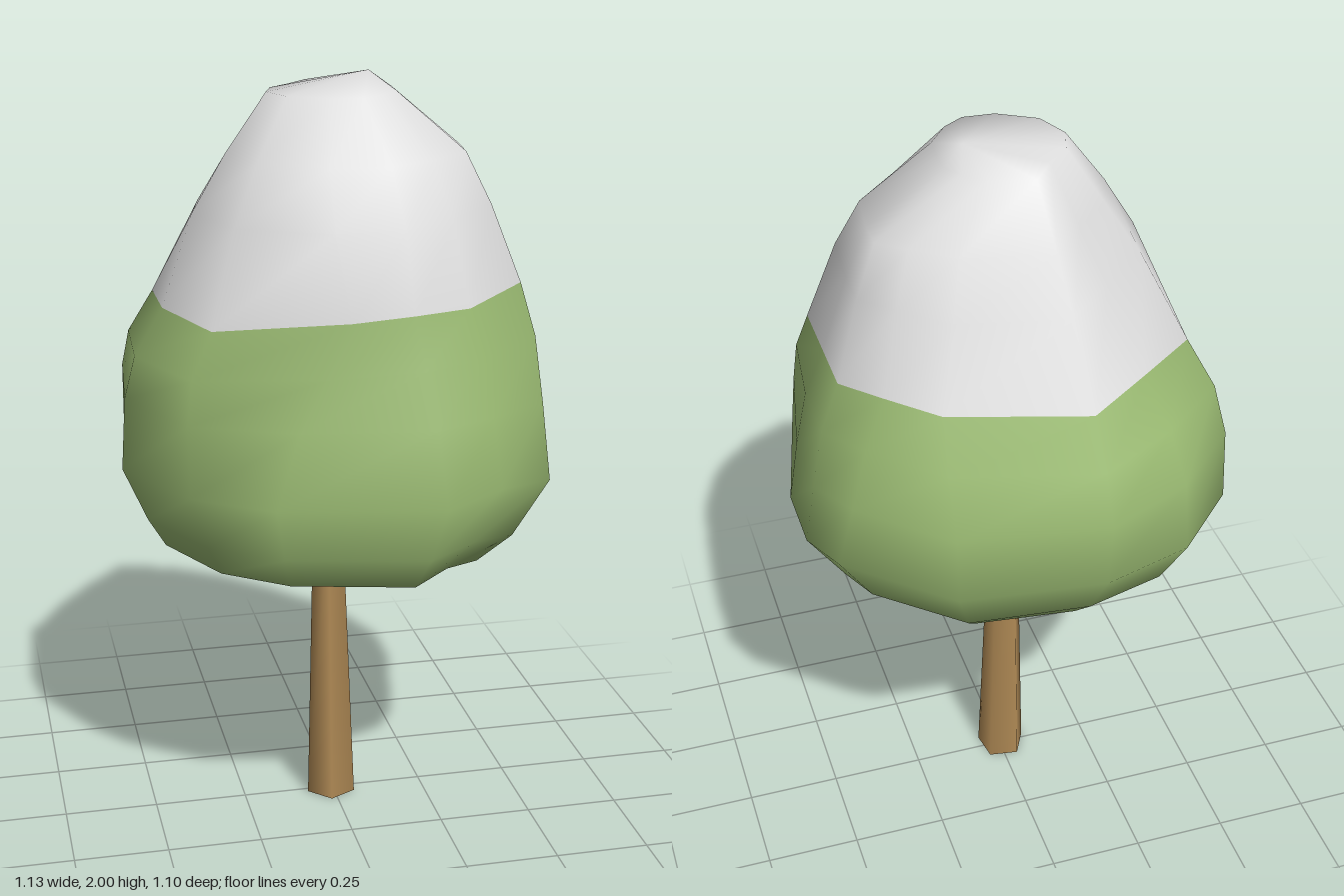
import * as THREE from 'three';

const leafGreen = new THREE.MeshStandardMaterial({ color: 0x9aba72 });
const snowWhite = new THREE.MeshStandardMaterial({ color: 0xe0e0e0 });
const barkBrown = new THREE.MeshStandardMaterial({ color: 0xb08a55 });
leafGreen.name = 'leafGreen';
snowWhite.name = 'snowWhite';
barkBrown.name = 'barkBrown';

// Irregular crown outlines in unit [x, z]: belly, snow line and peak
const outlines = [
  [[1, 0.05], [0.84, 0.74], [0.6, 0.8], [0.3, 1], [-0.42, 0.84], [-0.76, 0.6], [-1, 0.13],
    [-0.92, -0.54], [-0.62, -0.87], [-0.2, -1], [0.46, -0.93], [0.9, -0.52], [1, -0.3]],
  [[1, 0], [1, 0.4], [0.57, 0.9], [0.25, 0.97], [-0.1, 1], [-0.82, 0.77], [-1, 0.1],
    [-1, -0.35], [-0.62, -0.67], [-0.22, -1], [0.55, -0.81], [0.8, -0.56], [1, -0.35]],
  [[1, -0.05], [0.95, 0.4], [0.6, 0.8], [0.25, 1], [-0.25, 0.97], [-0.8, 0.65], [-1, 0.15],
    [-0.86, -0.28], [-0.52, -0.62], [-0.2, -1], [0.5, -0.84], [0.8, -0.56], [1, -0.35]],
];

// Crown cross-sections: height, reach to -x, +x, -z, +z, outline blend, rise towards -x, +x
const rings = [
  [0.73, 0.37, 0.29, 0.28, 0.32, 0, 0.1, 0.12],
  [0.785, 0.46, 0.36, 0.36, 0.47, 0, 0.02, 0.04],
  [0.87, 0.505, 0.46, 0.445, 0.505, 0, 0, 0],
  [1.01, 0.568, 0.56, 0.53, 0.55, 0, 0.01, 0.03],
  [1.2, 0.555, 0.535, 0.55, 0.5, 0.3, 0, 0],
  [1.33, 0.525, 0.505, 0.5, 0.455, 0.65, -0.04, 0.05],
  [1.465, 0.45, 0.455, 0.44, 0.425, 1, -0.08, 0.03],
  [1.67, 0.37, 0.39, 0.34, 0.385, 1.7, 0, 0.03],
  [1.81, 0.285, 0.335, 0.265, 0.29, 2, 0, 0],
  [1.96, 0.175, 0.155, 0.18, 0.18, 2, 0, 0],
];
const SNOW_RING = 6;

function crownGeometry() {
  const n = outlines[0].length;
  const positions = [];
  for (const [y, left, right, back, front, blend, riseLeft, riseRight] of rings) {
    const lower = outlines[Math.min(1, Math.floor(blend))];
    const upper = blend < 1 ? outlines[1] : outlines[2];
    const t = blend < 1 ? blend : blend - 1;
    for (let k = 0; k < n; k++) {
      const u = THREE.MathUtils.lerp(lower[k][0], upper[k][0], t);
      const v = THREE.MathUtils.lerp(lower[k][1], upper[k][1], t);
      const x = u * (u < 0 ? left : right);
      const rise = Math.abs(x) * (u < 0 ? riseLeft : riseRight);
      positions.push(x, y + rise, v * (v < 0 ? back : front));
    }
  }
  // Hollow underside centre and off-centre tip
  const bottom = rings.length * n;
  positions.push(-0.01, 0.8, 0, 0.1, 2, -0.03);

  const green = [];
  const white = [];
  for (let k = 0; k < n; k++) {
    const next = (k + 1) % n;
    green.push(bottom, k, next);
    for (let i = 0; i < rings.length - 1; i++) {
      const a = i * n + k, b = i * n + next;
      (i < SNOW_RING ? green : white).push(a, a + n, b, b, a + n, b + n);
    }
    const last = (rings.length - 1) * n;
    white.push(last + k, bottom + 1, last + next);
  }

  const geometry = new THREE.BufferGeometry();
  geometry.setAttribute('position', new THREE.Float32BufferAttribute(positions, 3));
  geometry.setIndex([...green, ...white]);
  geometry.addGroup(0, green.length, 0);
  geometry.addGroup(green.length, white.length, 1);
  geometry.computeVertexNormals();
  return geometry;
}

// Five-sided tapering trunk with a slight lean
function trunkGeometry() {
  const height = 0.81;
  const geometry = new THREE.CylinderGeometry(0.042, 0.068, height, 5, 1, false, Math.PI * 0.75);
  geometry.translate(-0.006, height / 2, 0.005);
  const p = geometry.attributes.position;
  for (let i = 0; i < p.count; i++) p.setX(i, p.getX(i) - 0.01 * p.getY(i));
  return geometry;
}

export function createModel() {
  const tree = new THREE.Group();
  tree.name = 'snowyTree';

  const trunk = new THREE.Mesh(trunkGeometry(), barkBrown);
  trunk.name = 'trunk';

  const crown = new THREE.Mesh(crownGeometry(), [leafGreen, snowWhite]);
  crown.name = 'snowCappedCrown';

  tree.add(trunk, crown);
  return tree;
}
